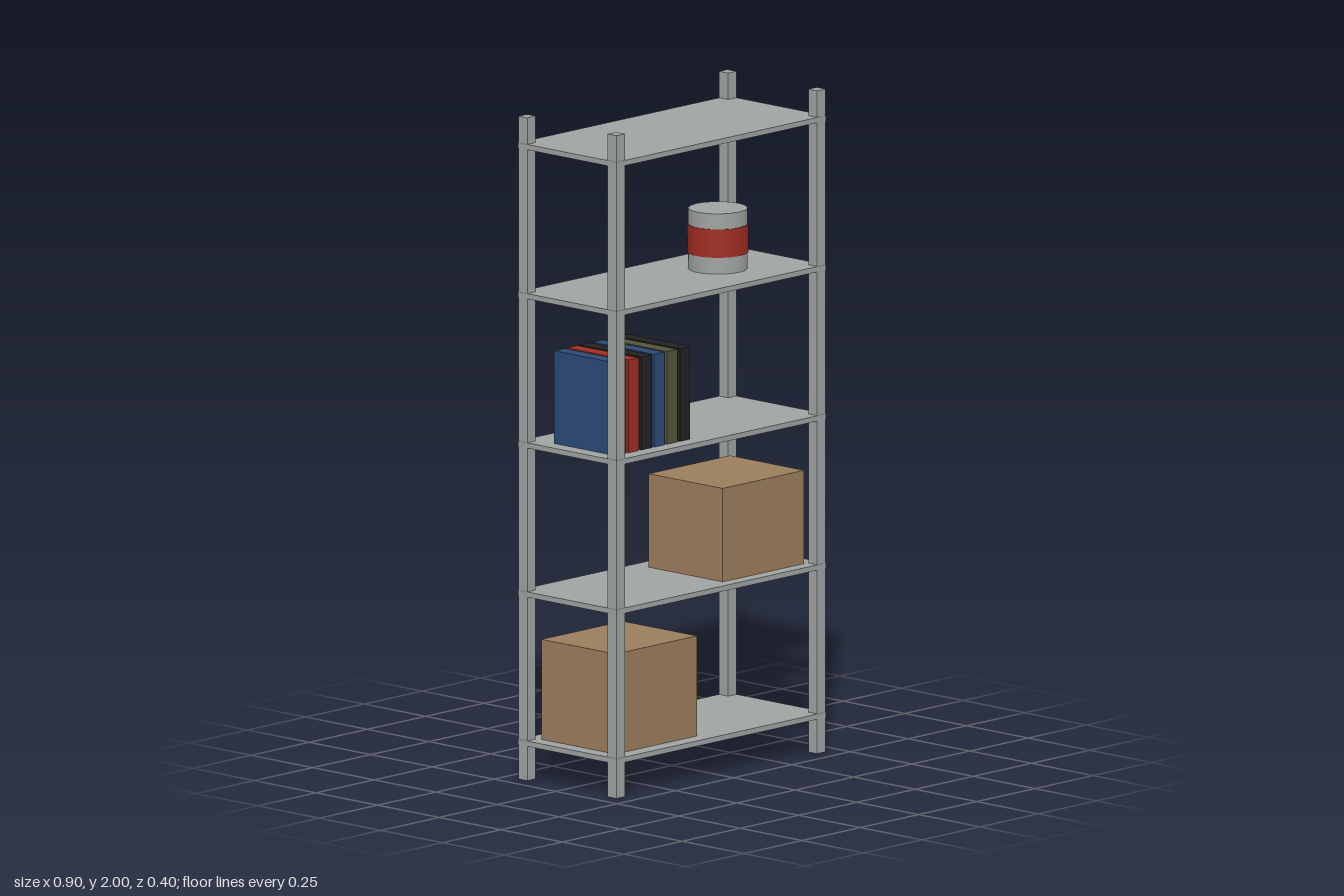
import * as THREE from 'three';

const mat = (name, color) => {
  const m = new THREE.MeshStandardMaterial({ color });
  m.name = name;
  return m;
};

export function createModel() {
  const metal = mat('grey metal', 0x9fa3a2);
  const card = mat('cardboard', 0x9b7d5d);
  const red = mat('red', 0xa02c23);
  const blue = mat('blue', 0x2b4a78);
  const black = mat('black', 0x222222);
  const olive = mat('olive', 0x55533a);

  const model = new THREE.Group();
  model.name = 'storageRack';

  // Adds a mesh whose underside rests at height y
  const add = (name, geometry, material, x, y, z, height) => {
    const mesh = new THREE.Mesh(geometry, material);
    mesh.name = name;
    mesh.position.set(x, y + height / 2, z);
    model.add(mesh);
  };
  const box = (name, material, w, h, d, x, y, z) =>
    add(name, new THREE.BoxGeometry(w, h, d), material, x, y, z, h);

  // Corner posts
  for (const sx of [-1, 1])
    for (const sz of [-1, 1])
      box('post', metal, 0.036, 2, 0.036, sx * 0.431, 0, sz * 0.181);

  // Five evenly spaced shelves, slightly proud of the posts
  const thickness = 0.016;
  const shelfTop = (i) => 0.12 + 0.45 * i;
  for (let i = 0; i < 5; i++)
    box('shelf', metal, 0.9, thickness, 0.4, 0, shelfTop(i) - thickness, 0);

  // Cardboard boxes
  box('lowerCarton', card, 0.35, 0.302, 0.3, -0.229, shelfTop(0), 0.002);
  box('upperCarton', card, 0.35, 0.282, 0.3, 0.223, shelfTop(1), 0.01);

  // Row of books
  [blue, red, black, blue, olive, black].forEach((cover, i) =>
    box('book', cover, 0.045, 0.28, 0.25, -0.38 + i * 0.055, shelfTop(2), 0.027));

  // Tin can with a coloured band
  const can = (name, r, h, y, material, open) =>
    add(name, new THREE.CylinderGeometry(r, r, h, 18, 1, open), material, 0.197, y, 0, h);
  can('can', 0.088, 0.182, shelfTop(3), metal, false);
  can('canBand', 0.091, 0.085, shelfTop(3) + 0.05, red, false);

  return model;
}
